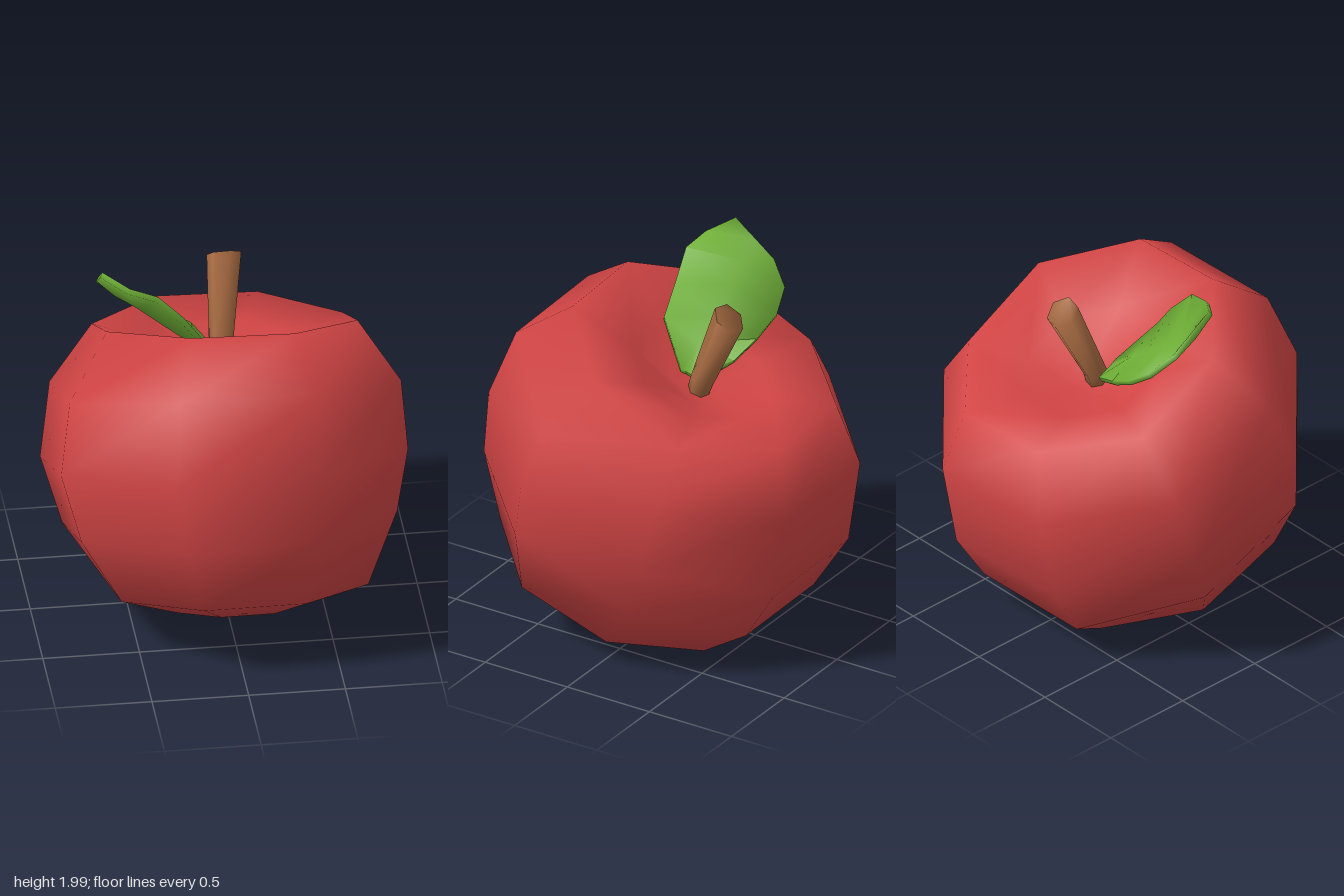
import * as THREE from 'three';
import { toCreasedNormals } from 'three/addons/utils/BufferGeometryUtils.js';

const V = (x, y, z) => new THREE.Vector3(x, y, z);
const material = (name, color) => {
  const m = new THREE.MeshStandardMaterial({ color });
  m.name = name;
  return m;
};

// Skin a closed, softly shaded solid over rings with equal numbers of points
function loft(rings) {
  const n = rings[0].length, last = (rings.length - 1) * n, index = [];
  for (let i = 0; i < rings.length - 1; i++) {
    for (let j = 0; j < n; j++) {
      const a = i * n + j, b = i * n + (j + 1) % n;
      index.push(a, b, b + n, a, b + n, a + n);
    }
  }
  for (let j = 1; j < n - 1; j++) {
    index.push(0, j + 1, j, last, last + j, last + j + 1);
  }
  const geo = new THREE.BufferGeometry().setFromPoints(rings.flat());
  geo.setIndex(index);
  return toCreasedNormals(geo, 1.8);
}

export function createModel() {
  const model = new THREE.Group();
  const add = (name, geo, mat) => {
    const mesh = new THREE.Mesh(geo, mat);
    mesh.name = name;
    model.add(mesh);
    return mesh;
  };
  const red = material('apple red', 0xd04444);
  const brown = material('stem brown', 0xa86b42);
  const green = material('leaf green', 0x6eae36);

  // Fruit: slightly uneven eight-sided rings, tipped backwards. Each row: height,
  // half width, half depth, centre x, centre z, slope in x, slope in z, drop of sides, extra drop of rear sides
  const fruitRings = [
    [-0.78, 0.12, 0.12, 0.03, 0, 0, 0, 0, 0],
    [-0.822, 0.335, 0.345, 0.04, 0, 0, 0, 0, 0],
    [-0.717, 0.64, 0.647, 0.04, -0.005, 0, -0.01, 0, 0],
    [-0.412, 0.82, 0.848, 0.015, -0.005, 0.03, 0.038, -0.045, 0],
    [-0.065, 0.9, 0.925, 0, 0.003, 0.01, 0.049, -0.035, 0],
    [0.393, 0.86, 0.875, 0.02, 0.03, 0, 0.025, 0.045, 0],
    [0.692, 0.65, 0.67, 0.03, 0.027, -0.025, 0.022, 0.012, 0.05],
    [0.585, 0.34, 0.35, 0.02, 0.01, 0, 0, 0, 0.025],
    [0.47, 0.12, 0.12, 0.01, 0, 0, 0, 0, 0],
  ].map(([h, rx, rz, cx, cz, kx, kz, drop, rear]) => Array.from({ length: 8 }, (_, k) => {
    const a = (k + 0.5) * Math.PI / 4 + 0.025, s = 1 / Math.cos(Math.PI / 8);
    const x = rx * s * Math.sin(a), z = rz * s * Math.cos(a);
    const sink = Math.abs(x) > Math.abs(z) ? drop + (z < 0 ? rear : 0) : 0;
    return V(x + cx, h + kx * x + kz * z - sink, z + cz);
  }));
  const fruit = add('fruit', loft(fruitRings), red);
  fruit.position.y = 0.9;
  fruit.rotation.x = -0.349;

  // Stem: bent six-sided stick, wider at the cut end
  const stemRings = [
    [0.02, 1.28, -0.15, 0.055, -0.1],
    [0.01, 1.4, -0.185, 0.062, -0.3],
    [0.05, 1.83, -0.375, 0.09, -0.66],
  ].map(([x, y, z, r, tilt]) => Array.from({ length: 6 }, (_, k) => {
    const a = k * Math.PI / 3 + 0.3;
    return V(r * Math.sin(a), 0, r * Math.cos(a)).applyAxisAngle(V(1, 0, 0), tilt).add(V(x, y, z));
  }));
  add('stem', loft(stemRings), brown);

  // Leaf: back and front edge points from base to tip, cupped along the middle
  const down = V(-0.5, -0.8, 0.4).normalize();
  const leafRings = [
    [V(-0.02, 1.38, -0.16), V(0, 1.42, -0.05), 0],
    [V(-0.13, 1.48, -0.29), V(-0.12, 1.62, 0.13), 0.04],
    [V(-0.28, 1.55, -0.33), V(-0.22, 1.76, 0.13), 0.05],
    [V(-0.43, 1.64, -0.36), V(-0.36, 1.91, 0.15), 0.05],
    [V(-0.55, 1.73, -0.33), V(-0.5, 1.95, 0.12), 0.03],
    [V(-0.62, 1.83, -0.22), V(-0.63, 2.0, 0.02), 0.01],
  ].map(([back, front, cup]) => {
    const mid = back.clone().lerp(front, 0.5).addScaledVector(down, cup);
    const top = [front, mid, back];
    const under = [back, mid, front].map((p) => p.clone().addScaledVector(down, 0.03));
    return [...top, ...under];
  });
  add('leaf', loft(leafRings), green);

  return model;
}
